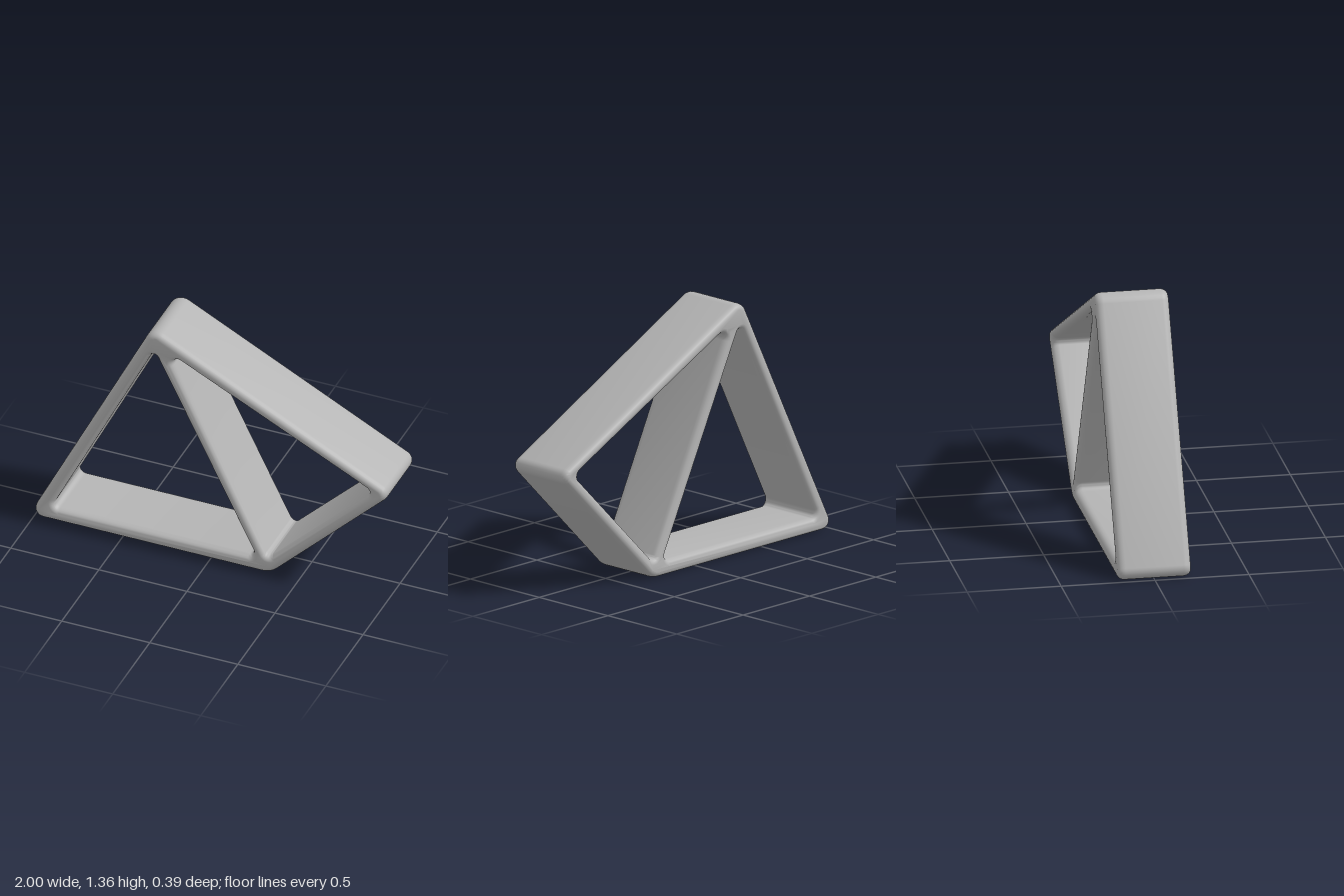
import * as THREE from 'three';
import { toCreasedNormals } from 'three/addons/utils/BufferGeometryUtils.js';

// Closed polygon with every corner replaced by an arc; corners are [x, y, radius]
function roundedLoop(corners, steps = 8) {
  const points = [];
  corners.forEach(([x, y, r], i) => {
    const n = corners.length;
    const c = new THREE.Vector2(x, y);
    const toPrev = new THREE.Vector2(...corners[(i + n - 1) % n].slice(0, 2)).sub(c).normalize();
    const toNext = new THREE.Vector2(...corners[(i + 1) % n].slice(0, 2)).sub(c).normalize();
    const half = Math.acos(toPrev.dot(toNext)) / 2;
    const centre = toPrev.clone().add(toNext).normalize().multiplyScalar(r / Math.sin(half)).add(c);
    const start = toPrev.multiplyScalar(r / Math.tan(half)).add(c).sub(centre);
    const end = toNext.multiplyScalar(r / Math.tan(half)).add(c).sub(centre);
    const sweep = Math.atan2(start.cross(end), start.dot(end));
    for (let k = 0; k <= steps; k++) {
      points.push(start.clone().rotateAround(new THREE.Vector2(), sweep * k / steps).add(centre));
    }
  });
  return points;
}

export function createModel() {
  const group = new THREE.Group();
  group.name = 'trussFrame';
  const grey = new THREE.MeshStandardMaterial({ color: 0xb4b4b4 });
  grey.name = 'plain grey';

  // Four-sided outline with two triangular openings either side of the strut
  const outline = new THREE.Shape(roundedLoop([
    [-1.03, 0, 0.05], [0.34, 0, 0.12], [1.033, 0.693, 0.05], [-0.336, 1.388, 0.07],
  ]));
  const openings = [
    [[-0.905, 0.08, 0.03], [0.26, 0.08, 0.03], [-0.322, 1.25, 0.022]],
    [[0.325, 0.09, 0.025], [0.92, 0.682, 0.03], [-0.25, 1.262, 0.03]],
  ];
  outline.holes = openings.map((o) => new THREE.Path(roundedLoop(o)));

  // Extruded bars with soft edges front and back
  const halfDepth = 0.195, round = 0.03, roundDepth = 0.04;
  const depth = 2 * (halfDepth - roundDepth);
  const geometry = new THREE.ExtrudeGeometry(outline, {
    depth, steps: 1, bevelEnabled: true, bevelSegments: 5,
    bevelSize: round, bevelOffset: -round, bevelThickness: roundDepth,
  });
  geometry.translate(0, 0, -depth / 2);

  const frame = new THREE.Mesh(toCreasedNormals(geometry, 0.8), grey);
  frame.name = 'frame';
  group.add(frame);
  return group;
}
